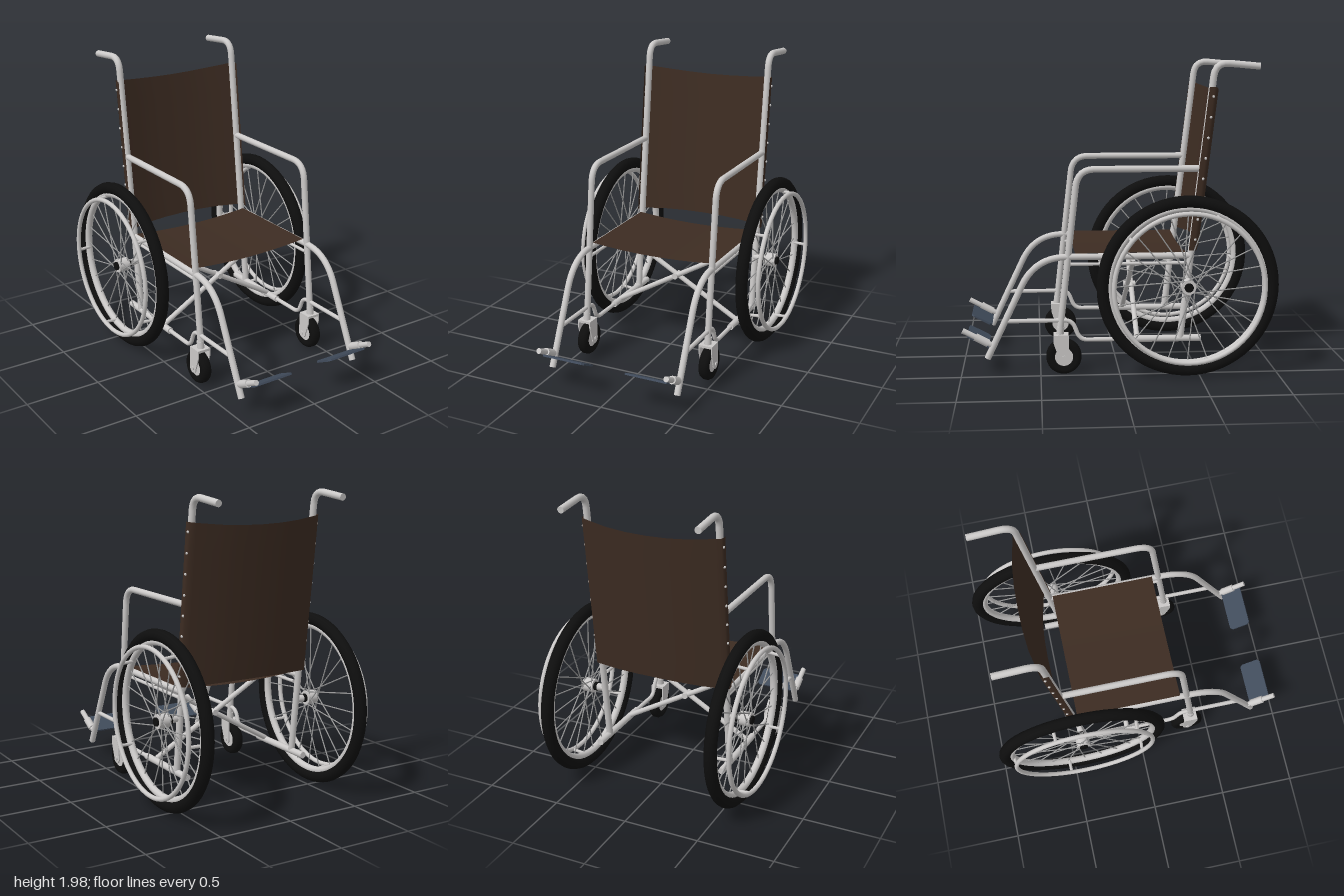
import * as THREE from 'three';
import { mergeGeometries } from 'three/addons/utils/BufferGeometryUtils.js';

const mat = (name, color, side = THREE.FrontSide) => {
  const m = new THREE.MeshStandardMaterial({ color, side });
  m.name = name;
  return m;
};
const V = (x, y, z) => new THREE.Vector3(x, y, z);

// Straight round bar between two points
function rodGeo(a, b, r, r2 = r, sides = 14) {
  const d = b.clone().sub(a);
  const g = new THREE.CylinderGeometry(r2, r, d.length(), sides);
  g.applyQuaternion(new THREE.Quaternion().setFromUnitVectors(V(0, 1, 0), d.normalize()));
  const c = a.clone().add(b).multiplyScalar(0.5);
  return g.translate(c.x, c.y, c.z);
}

// Bent tube through corner points, with rounded bends and closed ends
function bentGeo(pts, r, bend) {
  const path = new THREE.CurvePath();
  let last = pts[0];
  for (let i = 1; i < pts.length - 1; i++) {
    const p = pts[i];
    const toward = (q) => p.clone().add(q.clone().sub(p).setLength(Math.min(bend, q.distanceTo(p) * 0.48)));
    const a = toward(pts[i - 1]), b = toward(pts[i + 1]);
    path.add(new THREE.LineCurve3(last, a));
    path.add(new THREE.QuadraticBezierCurve3(a, p, b));
    last = b;
  }
  const end = pts[pts.length - 1];
  path.add(new THREE.LineCurve3(last, end));
  const cap = (p, q) => rodGeo(p, p.clone().add(q.clone().sub(p).setLength(0.004)), r);
  return mergeGeometries([new THREE.TubeGeometry(path, 72, r, 14), cap(pts[0], pts[1]), cap(end, pts[pts.length - 2])]);
}

// Cloth sheet from rows of points
function sheetGeo(rows) {
  const n = rows[0].length, pos = [], idx = [];
  rows.forEach((row) => row.forEach((p) => pos.push(p.x, p.y, p.z)));
  for (let j = 0; j < rows.length - 1; j++) {
    for (let i = 0; i < n - 1; i++) {
      const a = j * n + i;
      idx.push(a, a + 1, a + n + 1, a, a + n + 1, a + n);
    }
  }
  const g = new THREE.BufferGeometry();
  g.setAttribute('position', new THREE.Float32BufferAttribute(pos, 3));
  g.setIndex(idx);
  g.computeVertexNormals();
  return g;
}

export function createModel() {
  const steel = mat('silver steel', 0xcbc9c8);
  const spokeSteel = mat('spoke steel', 0x9c9c9c);
  const rubber = mat('black rubber', 0x0e0e0e);
  const cloth = mat('brown cloth', 0x3d2c22, THREE.DoubleSide);
  const plate = mat('slate plate', 0x414c5c);

  const model = new THREE.Group();
  model.name = 'wheelchair';
  const add = (parent, name, geo, m) => {
    const mesh = new THREE.Mesh(geo, m);
    mesh.name = name;
    parent.add(mesh);
    return mesh;
  };
  const ring = (R, r, x) => new THREE.TorusGeometry(R, r, 12, 64).rotateY(Math.PI / 2).translate(x, 0, 0);
  const postZ = (y) => -0.362 - 0.119 * y;

  for (const s of [1, -1]) {
    const side = new THREE.Group();
    side.name = s > 0 ? 'leftSide' : 'rightSide';
    model.add(side);
    const X = s * 0.443;
    const P = (y, z) => V(X, y, z);

    // Tubular frame
    add(side, 'backPost', bentGeo([P(0.22, postZ(0.22)), P(1.968, postZ(1.968)), P(1.942, -0.877)], 0.022, 0.09), steel);
    add(side, 'armrest', bentGeo([P(1.307, -0.51), P(1.307, 0.262), P(0.25, 0.38)], 0.021, 0.11), steel);
    add(side, 'seatRailAndLeg', bentGeo([P(0.755, -0.45), P(0.755, 0.53), P(0.11, 0.835)], 0.021, 0.2), steel);
    add(side, 'lowerRailFront', bentGeo([P(0.22, -0.1), P(0.22, 0.25), P(0.348, 0.3), P(0.348, 0.72)], 0.014, 0.05), steel);
    add(side, 'lowerRailRear', rodGeo(P(0.22, 0.0), P(0.22, -0.52), 0.022), steel);
    add(side, 'braceRail', rodGeo(V(s * 0.43, 0.705, 0.32), V(s * 0.43, 0.705, -0.42), 0.011), steel);
    add(side, 'crossBrace', rodGeo(V(s * 0.435, 0.735, -0.1 + s * 0.012), V(-s * 0.435, 0.235, -0.1 + s * 0.012), 0.017), steel);

    // Drive wheel, built around its own axle
    const wheel = new THREE.Group();
    wheel.name = 'driveWheel';
    wheel.position.set(0, 0.58, -0.422);
    side.add(wheel);
    const W = s * 0.562;
    add(wheel, 'tyre', ring(0.533, 0.04, W), rubber);
    add(wheel, 'rim', ring(0.492, 0.024, W), steel);
    add(wheel, 'handRim', ring(0.47, 0.015, s * 0.653), steel);
    const bar = (x1, x2, r, r2) => rodGeo(V(s * x1, 0, 0), V(s * x2, 0, 0), r, r2, 24);
    add(wheel, 'hub', bar(0.525, 0.602, 0.046), steel);
    add(wheel, 'hubCap', bar(0.502, 0.615, 0.028), rubber);
    add(wheel, 'axle', bar(0.44, 0.51, 0.018, 0.026), steel);
    const polar = (x, r, a) => V(s * x, r * Math.sin(a), r * Math.cos(a));
    const spokes = [], posts = [];
    for (let i = 0; i < 24; i++) {
      const a = (i / 24) * Math.PI * 2;
      const lean = i % 4 < 2 ? 1.1 : -1.1;
      spokes.push(rodGeo(polar(i % 2 ? 0.535 : 0.592, 0.043, a + lean), polar(0.562, 0.475, a), 0.0042, 0.0042, 6));
    }
    for (let i = 0; i < 5; i++) {
      const a = 0.7 + (i / 5) * Math.PI * 2;
      posts.push(rodGeo(polar(0.562, 0.478, a), polar(0.65, 0.47, a), 0.011, 0.011, 8));
    }
    add(wheel, 'spokes', mergeGeometries(spokes), spokeSteel);
    add(wheel, 'handRimPosts', mergeGeometries(posts), steel);

    // Front caster with its fork
    const caster = new THREE.Group();
    caster.name = 'caster';
    caster.position.set(s * 0.445, 0.117, 0.353);
    side.add(caster);
    const casterTyre = [[0.058, -0.028], [0.085, -0.036], [0.102, -0.03], [0.112, -0.014], [0.112, 0.014], [0.102, 0.03], [0.085, 0.036], [0.058, 0.028], [0.058, -0.028]];
    add(caster, 'casterTyre', new THREE.LatheGeometry(casterTyre.map(([r, y]) => new THREE.Vector2(r, y)), 36).rotateZ(Math.PI / 2), rubber);
    add(caster, 'casterHub', rodGeo(V(-0.027, 0, 0), V(0.027, 0, 0), 0.06, 0.06, 28), steel);
    add(caster, 'casterAxle', rodGeo(V(-0.054, 0, 0), V(0.054, 0, 0), 0.014), steel);
    const cheek = new THREE.Shape();
    cheek.moveTo(-0.065, 0.14);
    cheek.lineTo(-0.065, 0.09);
    cheek.lineTo(-0.034, 0);
    cheek.absarc(0, 0, 0.034, Math.PI, Math.PI * 2, false);
    cheek.lineTo(0.03, 0.14);
    for (const x of [-0.047, 0.039]) {
      const g = new THREE.ExtrudeGeometry(cheek, { depth: 0.008, bevelEnabled: false, curveSegments: 10 });
      add(caster, 'forkCheek', g.rotateY(Math.PI / 2).translate(x, 0, 0), steel);
    }
    add(caster, 'forkCrown', new THREE.BoxGeometry(0.094, 0.016, 0.095).translate(0, 0.136, 0.0175), steel);
    add(caster, 'forkStem', rodGeo(V(0, 0.135, 0.025), V(0, 0.19, 0.02), 0.024), steel);

    // Tilted footplate on its bracket
    add(side, 'footBracket', rodGeo(V(X, 0.197, 0.81), V(X, 0.292, 0.99), 0.018), steel);
    add(side, 'footClamp', rodGeo(V(X, 0.207, 0.83), V(X, 0.25, 0.91), 0.026), steel);
    const outline = new THREE.Shape();
    outline.moveTo(-0.145, -0.06);
    outline.lineTo(-0.13, -0.076);
    outline.lineTo(0.145, -0.076);
    outline.lineTo(0.145, 0.076);
    outline.lineTo(-0.13, 0.076);
    outline.lineTo(-0.145, 0.06);
    const footplate = new THREE.ExtrudeGeometry(outline, { depth: 0.012, bevelEnabled: false });
    footplate.rotateX(-Math.PI / 2);
    if (s < 0) footplate.rotateY(Math.PI);
    footplate.rotateX(-0.486).translate(s * 0.287, 0.21, 0.897);
    add(side, 'footplate', footplate, plate);

    // Studs fixing the backrest to the post
    for (let i = 0; i < 8; i++) {
      const y = 0.86 + i * 0.128;
      add(side, 'stud', new THREE.SphereGeometry(0.009, 8, 6).translate(s * 0.471, y, postZ(y) - 0.012), steel);
    }
  }
  add(model, 'bracePivot', rodGeo(V(0, 0.485, -0.14), V(0, 0.485, -0.06), 0.02), steel);

  // Sagging seat cloth
  const seatRows = [0.278, -0.428].map((z) => {
    const row = [];
    for (let i = 0; i <= 16; i++) {
      const u = i / 8 - 1;
      row.push(V(u * 0.443, 0.753 + 0.024 * u * u, z));
    }
    return row;
  });
  add(model, 'seat', sheetGeo(seatRows), cloth);

  // Backrest cloth wrapped round the posts and bowed backwards
  const half = [[0.469, 0.02], [0.472, -0.01], [0.465, -0.028], [0.43, -0.036], [0.28, -0.069], [0.14, -0.083]];
  const section = [...half, [0, -0.086], ...half.slice().reverse().map(([x, d]) => [-x, d])];
  const backRows = [];
  for (let j = 0; j <= 6; j++) {
    const t = j / 6;
    backRows.push(section.map(([x, d]) => {
      const sag = 1 - (x / 0.472) ** 2;
      const y = 0.79 + 1.025 * t + sag * (0.012 - 0.045 * t);
      return V(x, y, postZ(y) + d);
    }));
  }
  add(model, 'backrest', sheetGeo(backRows), cloth);

  return model;
}
